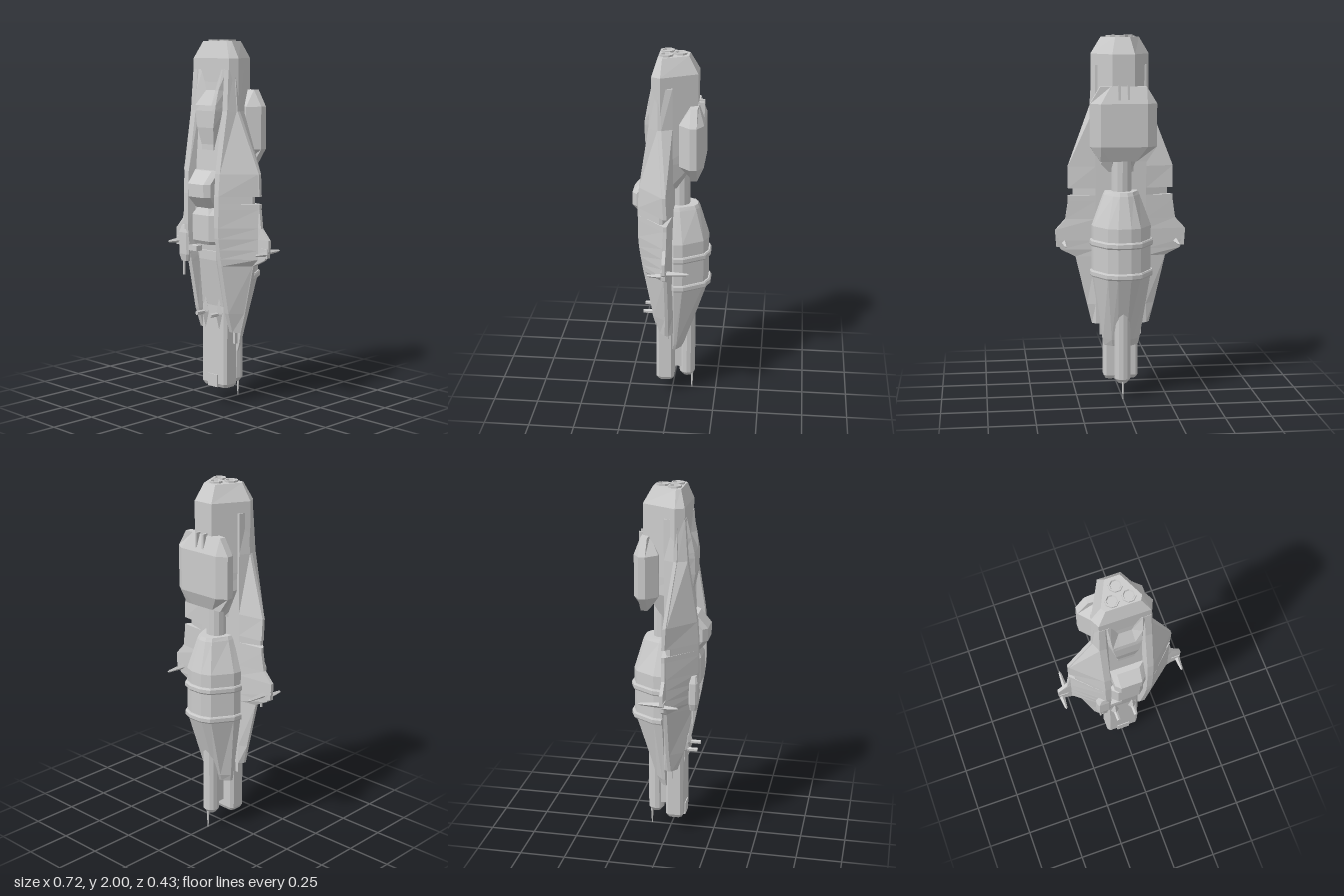
import * as THREE from 'three';

const material = new THREE.MeshStandardMaterial({ color: 0xcccccc, flatShading: true, side: THREE.DoubleSide });

// Solid through sections [y, [[x, z]...]], lowest first; half outlines run front to back and are mirrored in x.
function loft(sections) {
  const rings = sections.map(([y, half]) => {
    const mirrored = half.filter(p => p[0] !== 0).reverse().map(([x, z]) => [-x, z]);
    return [...half, ...mirrored].map(([x, z]) => new THREE.Vector3(x, y, z));
  });
  const n = rings[0].length, pos = [], index = [];
  rings.flat().forEach(p => pos.push(p.x, p.y, p.z));
  for (let r = 0; r < rings.length - 1; r++) {
    for (let i = 0; i < n; i++) {
      const a = r * n + i, b = r * n + (i + 1) % n;
      index.push(a, b, b + n, a, b + n, a + n);
    }
  }
  const cap = (ring) => THREE.ShapeUtils.triangulateShape(ring.map(p => new THREE.Vector2(p.x, -p.z)), []);
  const top = (rings.length - 1) * n;
  cap(rings[0]).forEach(([a, b, c]) => index.push(a, c, b));
  cap(rings[rings.length - 1]).forEach(([a, b, c]) => index.push(top + a, top + b, top + c));
  const g = new THREE.BufferGeometry();
  g.setAttribute('position', new THREE.Float32BufferAttribute(pos, 3));
  g.setIndex(index);
  const flat = g.toNonIndexed();
  flat.computeVertexNormals();
  return flat;
}

// Chamfered rectangular half outline
const rect = (w, front, back, c) => [[0, front], [w - c, front], [w, front - c], [w, back + c], [w - c, back], [0, back]];

export function createModel() {
  const model = new THREE.Group();
  const add = (name, geometry, x = 0, y = 0, z = 0) => {
    const mesh = new THREE.Mesh(geometry, material);
    mesh.name = name;
    mesh.position.set(x, y, z);
    model.add(mesh);
    return mesh;
  };
  const box = (name, w, h, d, x, y, z) => add(name, new THREE.BoxGeometry(w, h, d), x, y, z);

  // Engine block with a tapered top and a trapezoid plan
  const block = (w, front, side, nose, back) => [[0, front], [nose, front], [w, side], [w * 0.38, back], [0, back]];
  add('engineBlock', loft([
    [1.26, block(0.13, 0.08, 0.03, 0.11, -0.03)],
    [1.42, block(0.16, 0.098, 0.05, 0.135, -0.13)],
    [1.52, block(0.16, 0.098, 0.05, 0.135, -0.14)],
    [1.9, block(0.16, 0.098, 0.05, 0.135, -0.14)],
    [1.99, block(0.105, 0.07, 0.045, 0.09, -0.09)]
  ]));

  // Three octagonal nozzles
  const nozzleProfile = [[0, 0], [0.022, 0], [0.029, 0.02], [0.037, 0.02], [0.037, -0.02]].map(p => new THREE.Vector2(...p));
  for (const [x, z] of [[0, -0.042], [-0.043, 0.028], [0.043, 0.028]]) {
    add('nozzle', new THREE.LatheGeometry(nozzleProfile, 8, Math.PI / 8), x, 1.98, z);
  }

  // Winged hull: y, wing tip x, rail front z, trench floor z, wing edge front z, rail outer x
  const hull = [
    [0.41, 0.16, 0.06, 0.04, 0.03, 0.125],
    [0.52, 0.187, 0.095, 0.06, 0.025, 0.13],
    [0.79, 0.25, 0.148, 0.1, 0.025, 0.13],
    [0.83, 0.33, 0.155, 0.11, 0.025, 0.13],
    [0.88, 0.36, 0.163, 0.115, 0.025, 0.13],
    [0.94, 0.36, 0.172, 0.12, 0.025, 0.13],
    [1.0, 0.305, 0.176, 0.125, 0.025, 0.132],
    [1.1, 0.29, 0.176, 0.13, 0.022, 0.135],
    [1.13, 0.29, 0.176, 0.13, 0.022, 0.135],
    [1.131, 0.262, 0.176, 0.13, 0.046, 0.135],
    [1.169, 0.262, 0.176, 0.13, 0.046, 0.135],
    [1.17, 0.29, 0.176, 0.13, 0.022, 0.135],
    [1.29, 0.29, 0.168, 0.125, 0.028, 0.137],
    [1.62, 0.165, 0.115, 0.1, 0.062, 0.14],
    [1.84, 0.15, 0.1, 0.09, 0.065, 0.135]
  ];
  add('wingedHull', loft(hull.map(([y, tip, rail, floor, edge, outer]) => {
    const knee = Math.min(tip - 0.004, 0.285);
    return [y, [[0, floor], [0.09, floor], [0.103, rail], [outer, rail], [knee, edge + 0.003],
      [tip, edge], [tip, edge - 0.018], [0.14, -0.012], [0, -0.02]]];
  })));

  // Paired wing-tip spikes and lower wing pins
  for (const s of [-1, 1]) {
    const spike = (x, from, to, r) => {
      const dir = Math.sign(to - from), len = Math.abs(to - from);
      const g = new THREE.CylinderGeometry(r * 0.45, r, len * 0.9, 4).translate(0, -len * 0.05, 0);
      const tip = new THREE.ConeGeometry(r * 0.45, len * 0.1, 4).translate(0, len * 0.45, 0);
      for (const part of [g, tip]) {
        add('wingSpike', part.rotateX(dir * Math.PI / 2), s * x, 0.868, (from + to) / 2);
      }
    };
    spike(0.31, 0.015, -0.12, 0.017);
    spike(0.342, 0.02, 0.107, 0.016);
    box('spikeMount', 0.05, 0.05, 0.025, s * 0.33, 0.87, 0.018);
    box('lowerWingPin', 0.018, 0.1, 0.018, s * 0.107, 0.39, 0.02);
  }

  // Forked hood on the front of the engine block
  const hood = (w, edge, inner, mid) => [[0, mid], [inner, mid], [w * 0.82, edge], [w, 0.09], [0, 0.09]];
  add('frontHood', loft([
    [1.44, hood(0.055, 0.125, 0.035, 0.125)],
    [1.53, hood(0.075, 0.142, 0.05, 0.142)],
    [1.62, hood(0.092, 0.142, 0.05, 0.142)],
    [1.65, hood(0.095, 0.14, 0.042, 0.138)],
    [1.73, hood(0.102, 0.125, 0.035, 0.1)],
    [1.84, hood(0.112, 0.102, 0.07, 0.095)]
  ]));
  box('hoodVent', 0.09, 0.03, 0.03, 0, 1.425, 0.11);

  // Bridge and the deck house under it
  const house = (w, front) => [[0, front], [w * 0.68, front], [w, front - 0.026], [w, 0.1], [0, 0.1]];
  add('bridge', loft([
    [1.1, house(0.07, 0.165)],
    [1.16, house(0.086, 0.214)],
    [1.23, house(0.086, 0.214)],
    [1.3, house(0.092, 0.155)]
  ]));
  add('deckHouse', loft([
    [0.9, house(0.08, 0.165)],
    [0.92, house(0.09, 0.178)],
    [1.06, house(0.09, 0.178)],
    [1.1, house(0.06, 0.16)]
  ]));

  // Long front beam with a forked lower end
  add('frontBeam', loft([
    [0.09, rect(0.085, 0.075, -0.005, 0.015)],
    [0.11, rect(0.096, 0.085, -0.015, 0.015)],
    [0.55, rect(0.096, 0.085, -0.015, 0.015)],
    [0.81, rect(0.08, 0.125, -0.015, 0.015)],
    [0.86, rect(0.08, 0.125, -0.015, 0.015)]
  ]));
  box('beamEndPlate', 0.075, 0.07, 0.02, 0, 0.125, 0.08);
  box('beamSpacer', 0.06, 0.2, 0.06, 0, 0.25, -0.025);
  for (const s of [-1, 1]) {
    const fairing = new THREE.OctahedronGeometry(1).scale(0.025, 0.09, 0.025);
    add('beamFairing', fairing, s * 0.053, 0.51, 0.09);
    add('beamGun', new THREE.CylinderGeometry(0.012, 0.012, 0.09, 6).rotateX(Math.PI / 2), s * 0.053, 0.508, 0.115);
  }

  // Rear tank, tapering below, with two raised bands
  const tank = (w, back, front = 0.02) => {
    const z = t => front + (back - front) * t;
    return [[0, front], [w * 0.62, front], [w, z(0.18)], [w * 0.97, z(0.4)], [w * 0.55, z(0.9)], [w * 0.22, back], [0, back]];
  };
  add('rearTank', loft([
    [0.29, tank(0.095, -0.06, 0)],
    [0.33, tank(0.105, -0.078, 0)],
    [0.7, tank(0.163, -0.2)],
    [0.97, tank(0.163, -0.2)],
    [1.14, tank(0.1, -0.15)],
    [1.16, tank(0.09, -0.14)]
  ]));
  for (const y of [0.69, 0.86]) {
    add('tankBand', loft([[y, tank(0.17, -0.208)], [y + 0.008, tank(0.174, -0.214)],
      [y + 0.028, tank(0.174, -0.214)], [y + 0.036, tank(0.17, -0.208)]]));
  }
  add('tankNeck', new THREE.CylinderGeometry(0.055, 0.055, 0.36, 12), 0, 1.28, -0.042);

  // Rear gun barrel with needle antenna
  const barrel = [[0, 0.09], [0.025, 0.09], [0.045, 0.115], [0.045, 0.7], [0, 0.7]].map(p => new THREE.Vector2(...p));
  add('rearBarrel', new THREE.LatheGeometry(barrel, 12), 0, 0, -0.085);
  add('needle', new THREE.CylinderGeometry(0.008, 0.003, 0.1, 6), 0, 0.05, -0.112);

  // Chamfered pod on the back, with two hooks
  const podY = [1.33, 1.41, 1.64, 1.73], podW = [0.125, 0.18, 0.18, 0.125];
  add('rearPod', loft(podY.map((y, i) => {
    const end = i === 0 || i === 3;
    const w = podW[i], inner = w - 0.055;
    return [y, [[0, end ? -0.1 : -0.045], [inner, end ? -0.1 : -0.045], [w, -0.105], [w, -0.142],
      [inner, end ? -0.145 : -0.177], [0, end ? -0.145 : -0.177]]];
  })));
  for (const s of [-1, 1]) box('podHook', 0.012, 0.08, 0.03, s * 0.025, 1.7, -0.155);

  // Gun turret on the right rail
  add('sideTurret', loft([
    [0.79, rect(0.025, 0.17, 0.135, 0.008)],
    [0.83, rect(0.038, 0.178, 0.13, 0.01)],
    [0.95, rect(0.038, 0.178, 0.13, 0.01)],
    [0.99, rect(0.022, 0.17, 0.135, 0.008)]
  ]), -0.143, 0, 0);
  add('turretBarrel', new THREE.CylinderGeometry(0.007, 0.007, 0.1, 6), -0.16, 0.76, 0.152);
  box('turretArm', 0.08, 0.03, 0.04, -0.08, 0.87, 0.15);

  return model;
}
